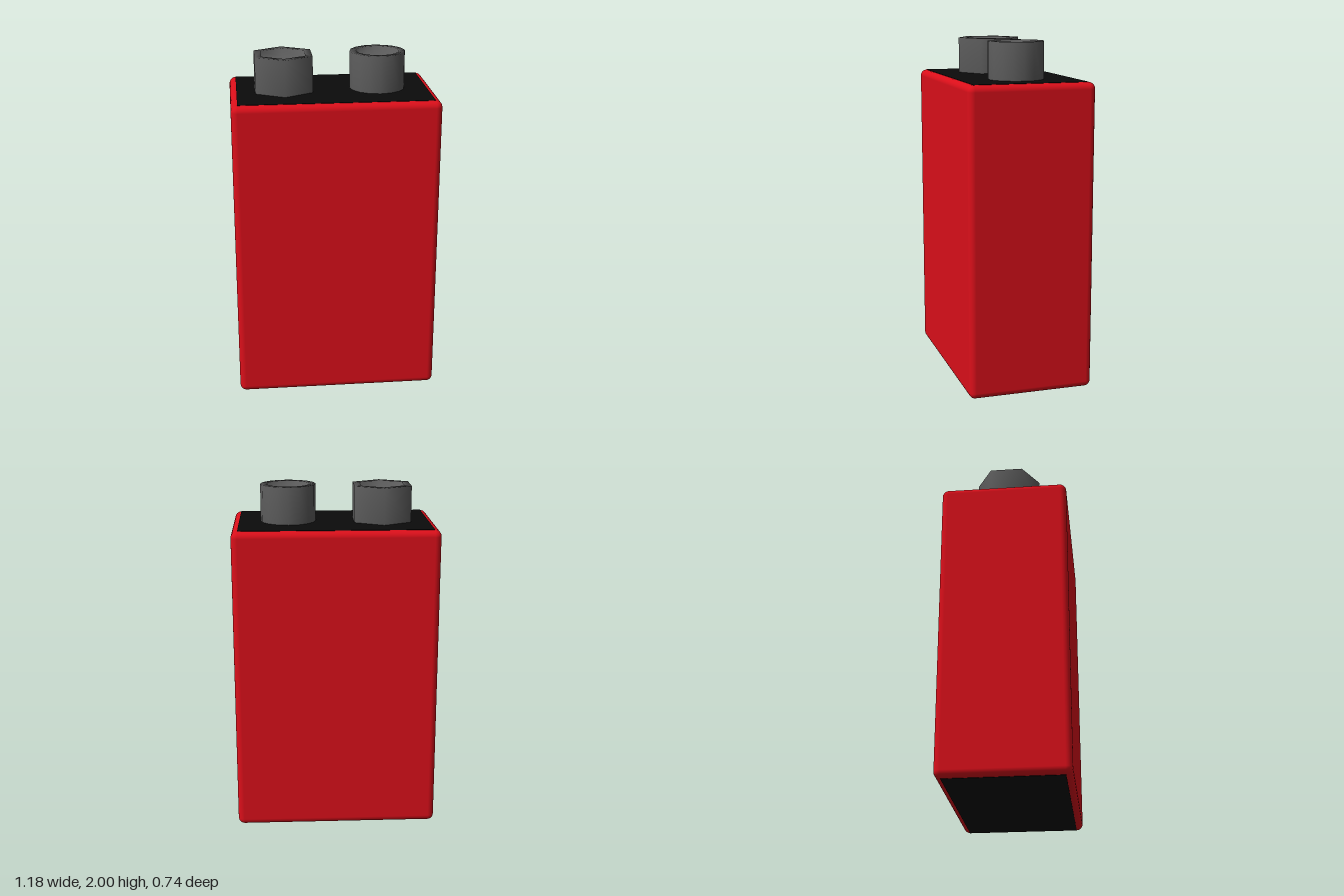
import * as THREE from 'three';
import { RoundedBoxGeometry } from 'three/addons/geometries/RoundedBoxGeometry.js';

const W = 1.18, D = 0.735, H = 1.785, BEVEL = 0.037, SKIN = 0.002;

const paint = (color) => new THREE.MeshStandardMaterial({ color });

// Hollow-topped post; few sides with normals smoothed around the axis
function terminal(name, x, radius, inner, top, sides, material) {
  const floor = top - 0.05;
  const profile = [
    [radius, H - 0.01], [radius, top], [inner, top], [inner, floor], [0, floor],
  ].map(([r, y]) => new THREE.Vector2(r, y));
  const mesh = new THREE.Mesh(new THREE.LatheGeometry(profile, sides), material);
  mesh.name = name;
  mesh.position.x = x;
  return mesh;
}

export function createModel() {
  const model = new THREE.Group();
  model.name = 'battery';
  const red = paint(0xdb0f1a), black = paint(0x0b0b0b), grey = paint(0x5a5a5a);

  // Casing with softly rounded edges
  const casing = new THREE.Mesh(
    new RoundedBoxGeometry(W, H - 2 * SKIN, D, 3, BEVEL), red);
  casing.name = 'casing';
  casing.position.y = H / 2;
  model.add(casing);

  // Black end plates filling the flat top and bottom
  for (const [name, y] of [['topPlate', H - 0.005], ['bottomPlate', 0.005]]) {
    const plate = new THREE.Mesh(
      new THREE.BoxGeometry(W - 2 * BEVEL, 0.01, D - 2 * BEVEL), black);
    plate.name = name;
    plate.position.y = y;
    model.add(plate);
  }

  // Hexagonal and round terminals
  model.add(
    terminal('hexTerminal', -0.281, 0.19, 0.144, 1.995, 6, grey),
    terminal('roundTerminal', 0.266, 0.161, 0.124, 2, 16, grey));

  return model;
}
